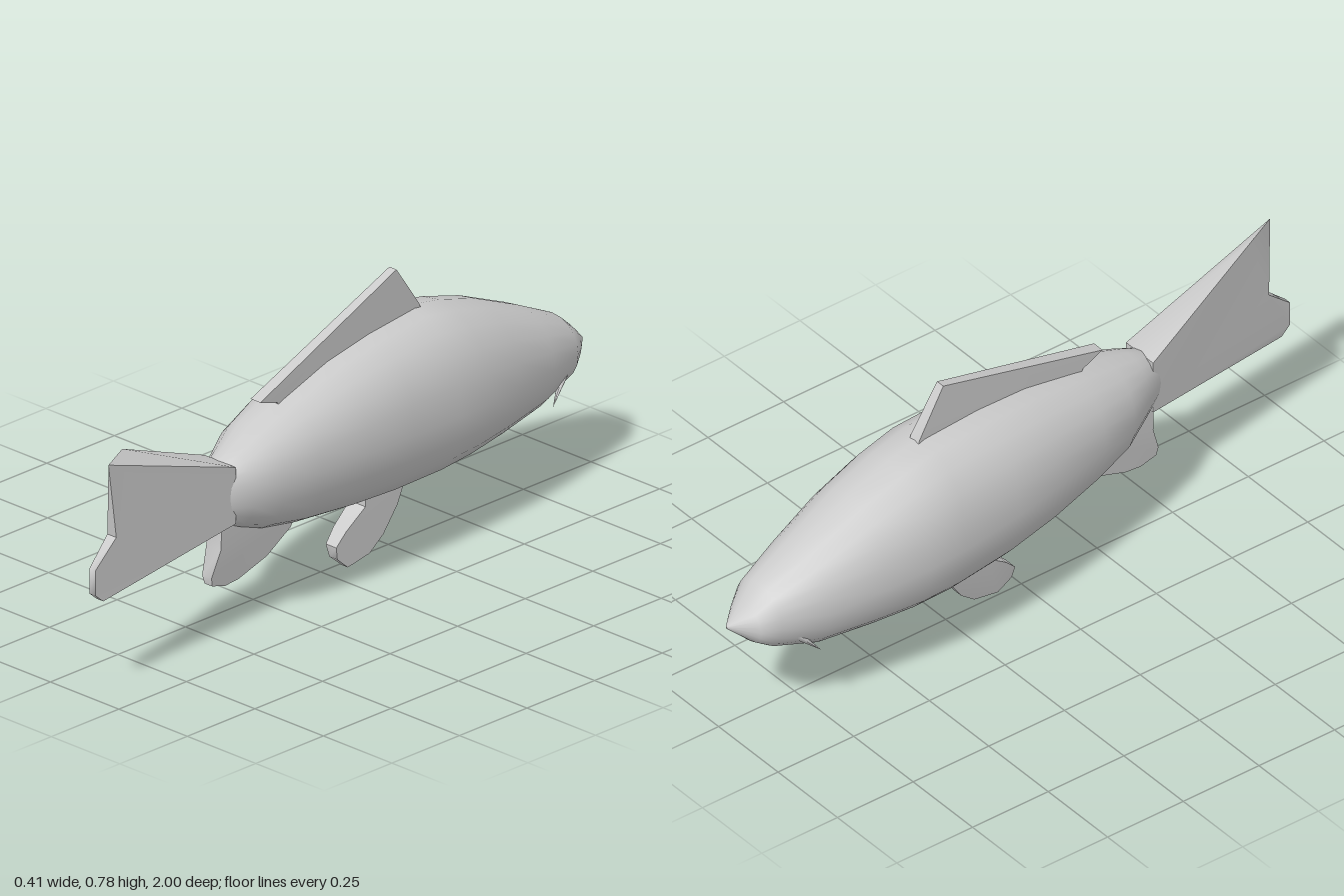
import * as THREE from 'three';
import { toCreasedNormals } from 'three/addons/utils/BufferGeometryUtils.js';

const material = new THREE.MeshStandardMaterial({ color: 0xcccccc, side: THREE.DoubleSide });
const lerp = THREE.MathUtils.lerp;

// Body cross-sections from snout to tail root: z, left edge, right edge, top, bottom, widest height
const SECTIONS = [
  [-1.0, -0.04, -0.03, 0.352, 0.343, 0.348],
  [-0.95, -0.115, 0.015, 0.405, 0.3, 0.35],
  [-0.9, -0.14, 0.052, 0.447, 0.265, 0.355],
  [-0.77, -0.178, 0.095, 0.51, 0.222, 0.365],
  [-0.6, -0.2, 0.14, 0.585, 0.203, 0.38],
  [-0.46, -0.21, 0.168, 0.628, 0.19, 0.39],
  [-0.34, -0.205, 0.182, 0.653, 0.185, 0.395],
  [-0.15, -0.185, 0.198, 0.645, 0.192, 0.405],
  [0.02, -0.152, 0.205, 0.625, 0.208, 0.41],
  [0.2, -0.102, 0.202, 0.582, 0.232, 0.41],
  [0.33, -0.058, 0.194, 0.545, 0.26, 0.41],
  [0.42, -0.005, 0.175, 0.51, 0.295, 0.41],
  [0.48, 0.03, 0.147, 0.488, 0.325, 0.408],
  [0.56, 0.085, 0.095, 0.42, 0.4, 0.41],
];

function bodyGeometry(sides = 20) {
  const pos = [], index = [];
  const soft = (v) => Math.sign(v) * Math.abs(v) ** 0.92;
  SECTIONS.forEach(([z, x0, x1, top, bottom, mid]) => {
    for (let i = 0; i < sides; i++) {
      const a = (i / sides) * Math.PI * 2;
      const s = soft(Math.sin(a));
      pos.push((x0 + x1) / 2 + soft(Math.cos(a)) * (x1 - x0) / 2,
        mid + s * (s > 0 ? top - mid : mid - bottom), z);
    }
  });
  for (let r = 0; r < SECTIONS.length - 1; r++) {
    for (let i = 0; i < sides; i++) {
      const a = r * sides + i, b = r * sides + (i + 1) % sides;
      index.push(a, b, b + sides, a, b + sides, a + sides);
    }
  }
  // end caps
  const last = (SECTIONS.length - 1) * sides;
  for (let i = 1; i < sides - 1; i++) {
    index.push(0, i + 1, i, last, last + i, last + i + 1);
  }
  const g = new THREE.BufferGeometry();
  g.setAttribute('position', new THREE.Float32BufferAttribute(pos, 3));
  g.setIndex(index);
  g.computeVertexNormals();
  return g;
}

// Fin from a (z, y) outline; shape(z, y, side) gives the surface point, side = -1 or 1 across the fin
function fin(name, outline, shape) {
  const s = new THREE.Shape(outline.map(([z, y]) => new THREE.Vector2(z, y)));
  const g = new THREE.ExtrudeGeometry(s, { depth: 1, steps: 1, bevelEnabled: false });
  const p = g.attributes.position;
  for (let i = 0; i < p.count; i++) {
    p.setXYZ(i, ...shape(p.getX(i), p.getY(i), p.getZ(i) > 0.5 ? -1 : 1));
  }
  const mesh = new THREE.Mesh(toCreasedNormals(g, 0.9), material);
  mesh.name = name;
  return mesh;
}

export function createModel() {
  const group = new THREE.Group();
  group.name = 'fish';

  const body = new THREE.Mesh(bodyGeometry(), material);
  body.name = 'body';
  group.add(body);

  // Dorsal fin, following the bend of the back
  group.add(fin('dorsalFin',
    [[-0.38, 0.6], [-0.36, 0.655], [-0.27, 0.782], [0.3, 0.602], [0.23, 0.578], [0.2, 0.54]],
    (z, y, side) => [lerp(-0.012, 0.058, (z + 0.36) / 0.66) + side * (y > 0.75 ? 0.013 : 0.018), y, z]));

  // Tail fin: a wedge thinning backwards, its right upper corner swept forward
  group.add(fin('tailFin',
    [[0.46, 0.49], [0.95, 0.655], [0.92, 0.44], [1, 0.37], [1, 0.3], [0.97, 0.275], [0.46, 0.33]],
    (z, y, side) => {
      const corner = y > 0.6;
      const zz = corner && side < 0 ? 0.85 : z;
      const t = Math.min((zz - 0.46) / 0.52, 1);
      return [lerp(0.088, 0.153, t) + side * lerp(0.057, 0.011, t), y, zz];
    }));

  // Paddle-shaped pelvic fin
  group.add(fin('pelvicFin',
    [[-0.31, 0.22], [-0.27, 0.18], [-0.25, 0.13], [-0.2, 0.06], [-0.15, 0.02], [-0.07, 0.005],
      [-0.03, 0.04], [-0.025, 0.075], [-0.06, 0.11], [-0.13, 0.16], [-0.13, 0.22]],
    (z, y, side) => {
      const t = Math.min(y / 0.18, 1);
      return [lerp(0.02, 0.004, t) + side * lerp(0.01, 0.032, t), y, z];
    }));

  // Anal fin
  group.add(fin('analFin',
    [[0.2, 0.28], [0.22, 0.235], [0.3, 0.175], [0.4, 0.14], [0.45, 0.135], [0.5, 0.15],
      [0.505, 0.175], [0.48, 0.25], [0.48, 0.34]],
    (z, y, side) => {
      const t = Math.min((y - 0.135) / 0.14, 1);
      return [0.083 + side * lerp(0.012, 0.03, t), y, z];
    }));

  // Mouth barbels on both sides of the head
  for (const side of [-1, 1]) {
    const g = new THREE.ConeGeometry(0.016, 0.11, 6);
    const barbel = new THREE.Mesh(g, material);
    barbel.name = side > 0 ? 'leftBarbel' : 'rightBarbel';
    const base = new THREE.Vector3(-0.042 + side * 0.085, 0.325, -0.86);
    const tip = new THREE.Vector3(-0.042 + side * 0.115, 0.248, -0.785);
    barbel.position.copy(base).add(tip).multiplyScalar(0.5);
    barbel.quaternion.setFromUnitVectors(new THREE.Vector3(0, 1, 0), tip.sub(base).normalize());
    group.add(barbel);
  }
  return group;
}
